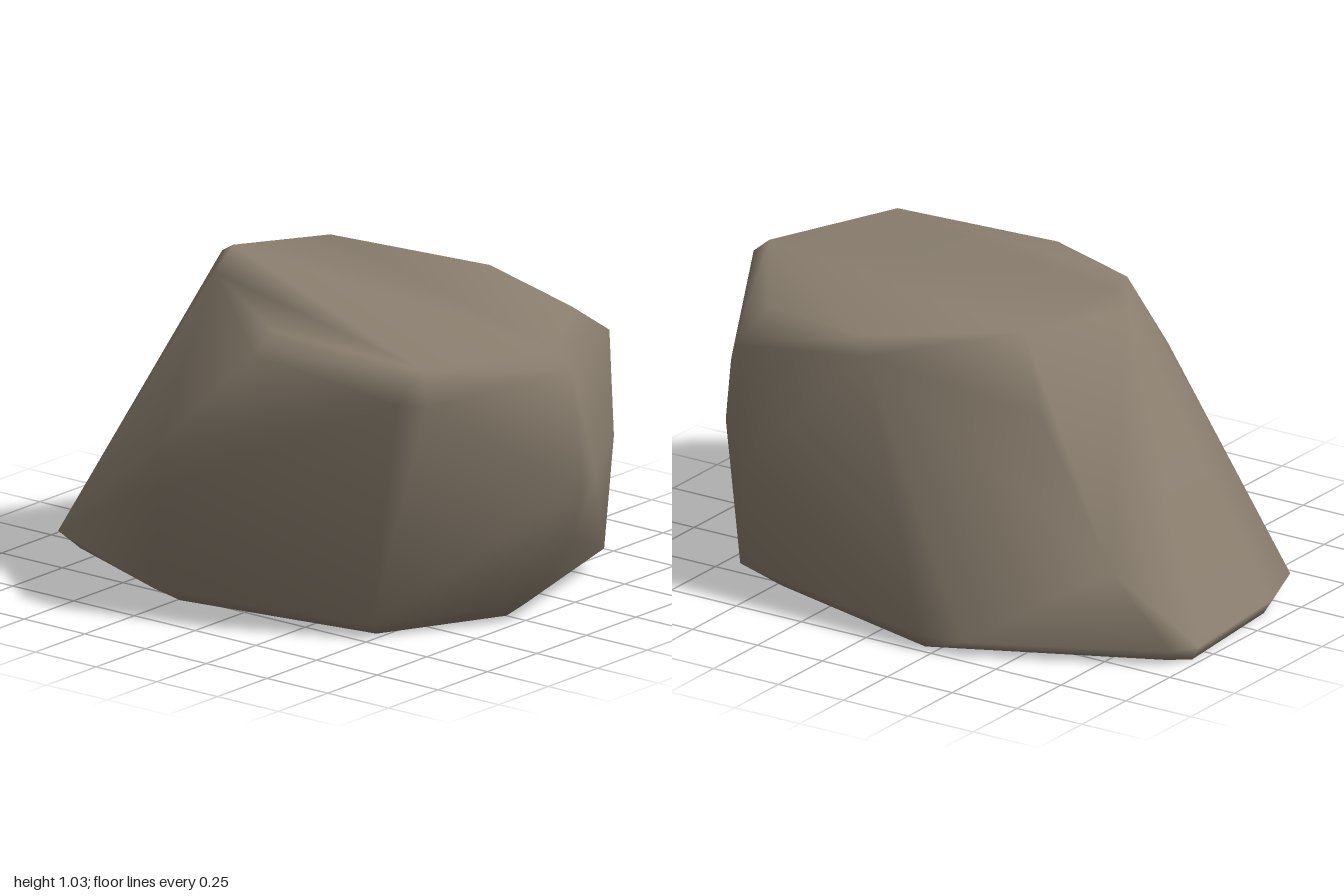
import * as THREE from 'three';
import { ConvexGeometry } from 'three/addons/geometries/ConvexGeometry.js';
import { mergeVertices } from 'three/addons/utils/BufferGeometryUtils.js';

// Corner rings of the boulder, from the ground up: [x, y, z]
const base = [
  [-0.97, 0, -0.33], [-0.93, 0, 0.14], [-0.84, 0, 0.3], [-0.24, 0, 0.53], [0.47, 0, 0.41],
  [0.67, 0, 0], [0.48, 0, -0.52], [-0.2, 0, -0.71], [-0.9, 0, -0.38],
];
const foot = [
  [-1, 0.05, -0.33], [-0.96, 0.05, 0.14], [-0.89, 0.06, 0.35], [-0.28, 0.05, 0.61],
  [0.5, 0.05, 0.47], [0.74, 0.05, 0], [0.6, 0.07, -0.58], [-0.2, 0.05, -0.745],
  [-0.35, 0.05, -0.72], [-0.95, 0.05, -0.42],
];
const belly = [
  [-0.28, 0.39, 0.72], [-0.14, 0.45, 0.745], [-0.18, 0.58, 0.705],
  [0.95, 0.31, 0], [1, 0.5, 0.02], [0.98, 0.52, -0.07],
  [0.73, 0.5, -0.47], [0.55, 0.45, -0.63], [-0.45, 0.75, -0.42], [-0.76, 0.3, -0.48],
];
const shoulder = [
  [-0.5, 0.99, 0], [0.08, 0.89, 0.55], [0.66, 0.83, 0.54], [0.74, 0.83, 0.49],
  [0.94, 0.88, 0], [0.63, 0.81, -0.57], [0.1, 0.89, -0.6],
];
const crown = [
  [-0.43, 1.03, 0.03], [-0.35, 1.0, 0.22], [0.08, 0.95, 0.46], [0.69, 0.935, 0.45],
  [0.88, 0.93, 0], [0.58, 0.91, -0.44], [0.15, 0.935, -0.555], [-0.34, 0.99, -0.35],
];

export function createModel() {
  const group = new THREE.Group();
  group.name = 'rock';
  const stone = new THREE.MeshStandardMaterial({ color: 0x8b7f6f });
  stone.name = 'brownGreyStone';

  // Hull around the corners, with normals smoothed over every edge
  const points = [...base, ...foot, ...belly, ...shoulder, ...crown]
    .map((p) => new THREE.Vector3(...p));
  let geometry = new ConvexGeometry(points);
  geometry.deleteAttribute('normal');
  geometry = mergeVertices(geometry, 1e-4);
  geometry.computeVertexNormals();

  const boulder = new THREE.Mesh(geometry, stone);
  boulder.name = 'boulder';
  group.add(boulder);
  return group;
}
